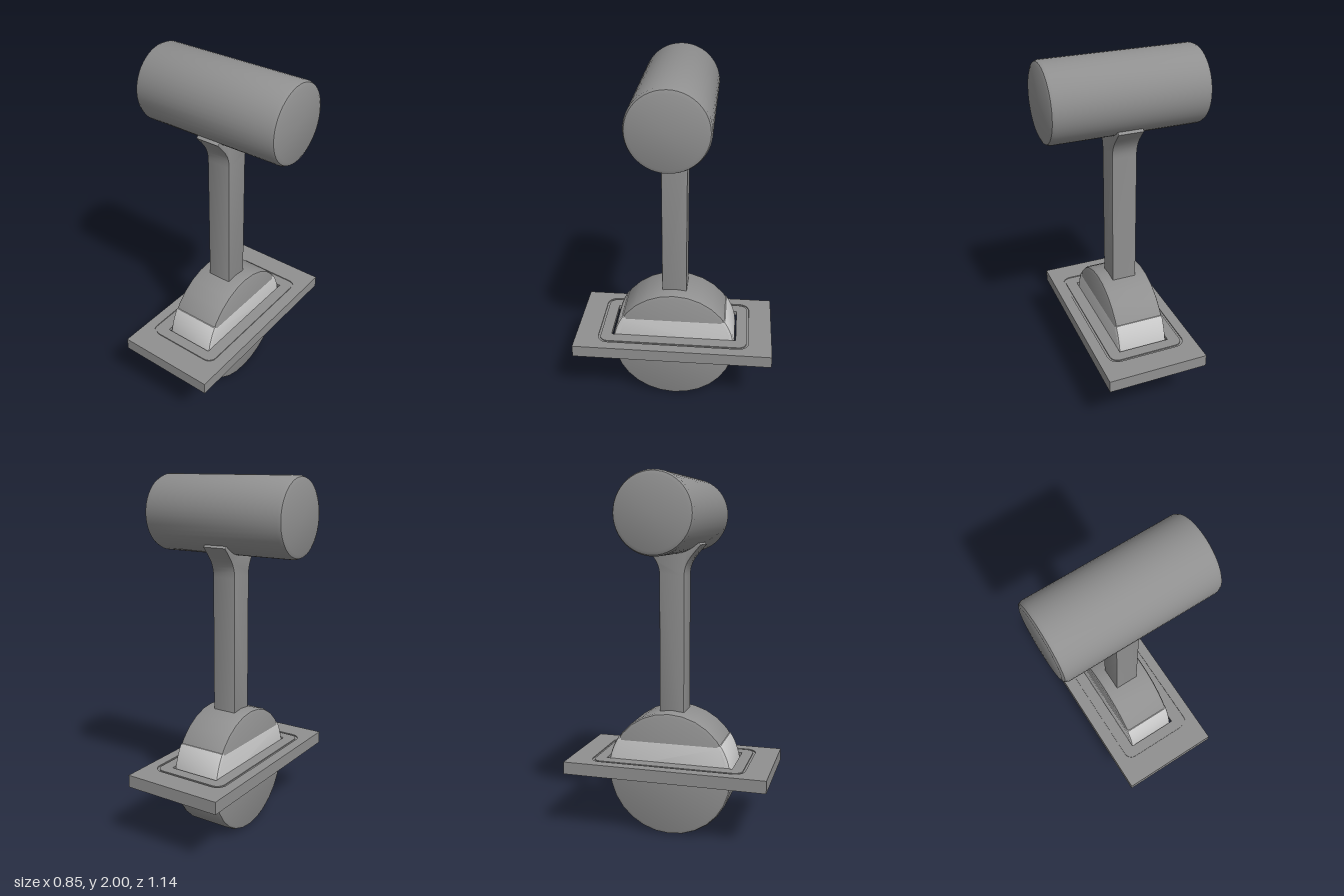
import * as THREE from 'three';
import { toCreasedNormals } from 'three/addons/utils/BufferGeometryUtils.js';

const dark = new THREE.MeshStandardMaterial({ color: 0x909090, side: THREE.DoubleSide });
const light = new THREE.MeshStandardMaterial({ color: 0xcccccc });

function add(group, name, geometry, material = dark, crease = 0.5) {
  const mesh = new THREE.Mesh(toCreasedNormals(geometry, crease), material);
  mesh.name = name;
  group.add(mesh);
  return mesh;
}

// Cylinder with chamfered rims, lying along x
function drum(radius, half, bevel, segments, y) {
  const points = [
    [0, -half], [radius - bevel, -half], [radius - bevel * 0.3, -half + bevel * 0.3],
    [radius, -half + bevel], [radius, half - bevel],
    [radius - bevel * 0.3, half - bevel * 0.3], [radius - bevel, half], [0, half],
  ].map(([r, h]) => new THREE.Vector2(r, h));
  return new THREE.LatheGeometry(points, segments).rotateZ(-Math.PI / 2).translate(0, y, 0);
}

// Rectangle in plan with optional corner radius
function rect(w, d, r = 0, Type = THREE.Shape) {
  const s = new Type();
  if (!r) {
    s.moveTo(-w, -d).lineTo(w, -d).lineTo(w, d).lineTo(-w, d).closePath();
    return s;
  }
  s.absarc(w - r, d - r, r, 0, Math.PI / 2);
  s.absarc(-w + r, d - r, r, Math.PI / 2, Math.PI);
  s.absarc(-w + r, -d + r, r, Math.PI, Math.PI * 1.5);
  s.absarc(w - r, -d + r, r, Math.PI * 1.5, Math.PI * 2);
  s.closePath();
  return s;
}

// Horizontal slab with one hole
function frame(outer, hole, y0, y1) {
  outer.holes.push(hole);
  return new THREE.ExtrudeGeometry(outer, { depth: y1 - y0, bevelEnabled: false, curveSegments: 8 })
    .rotateX(-Math.PI / 2).translate(0, y0, 0);
}

// Side profile (z, y) extruded across x with bevelled edges
function across(shape, half, bevel) {
  return new THREE.ExtrudeGeometry(shape, {
    depth: 2 * (half - bevel), bevelThickness: bevel, bevelSize: bevel,
    bevelOffset: -bevel, bevelSegments: 2, curveSegments: 10,
  }).translate(0, 0, -(half - bevel)).rotateY(-Math.PI / 2);
}

export function createModel() {
  const group = new THREE.Group();
  const P = THREE.Path;

  // Grip bar
  add(group, 'gripBar', drum(0.21, 0.427, 0.025, 48, 1.79));

  // Stem flaring into a cradle under the grip
  const stem = new THREE.Shape();
  stem.moveTo(-0.07, 0.6).lineTo(0.07, 0.6).lineTo(0.07, 1.46);
  stem.bezierCurveTo(0.07, 1.53, 0.1, 1.56, 0.162, 1.63);
  stem.lineTo(0.142, 1.645).lineTo(0.08, 1.61).lineTo(-0.08, 1.61).lineTo(-0.142, 1.645).lineTo(-0.162, 1.63);
  stem.bezierCurveTo(-0.1, 1.56, -0.07, 1.53, -0.07, 1.46);
  stem.closePath();
  add(group, 'stem', across(stem, 0.07, 0.005));

  // Pivot wheel
  add(group, 'pivotWheel', drum(0.355, 0.142, 0.022, 28, 0.358));

  // Pale band across the wheel, a slice between two chords
  const R = 0.357, cy = 0.358;
  const a0 = Math.asin((0.345 - cy) / R), a1 = Math.asin((0.555 - cy) / R);
  const band = new THREE.Shape();
  band.absarc(0, cy, R, a0, a1);
  band.absarc(0, cy, R, Math.PI - a1, Math.PI - a0);
  band.closePath();
  add(group, 'wheelBand', across(band, 0.144, 0.02), light);

  // Base plate: top sheet, hanging rim, grooved bezel round the slot
  add(group, 'plateTop', frame(rect(0.285, 0.57), rect(0.225, 0.438, 0.06, P), 0.415, 0.43));
  add(group, 'plateRim', frame(rect(0.285, 0.57), rect(0.273, 0.558, 0, P), 0.36, 0.416));
  add(group, 'bezel', frame(rect(0.212, 0.425, 0.047), rect(0.146, 0.363, 0, P), 0.405, 0.43));
  add(group, 'bezelGroove', frame(rect(0.235, 0.448, 0.07), rect(0.2, 0.413, 0.035, P), 0.4, 0.424));

  return group;
}
